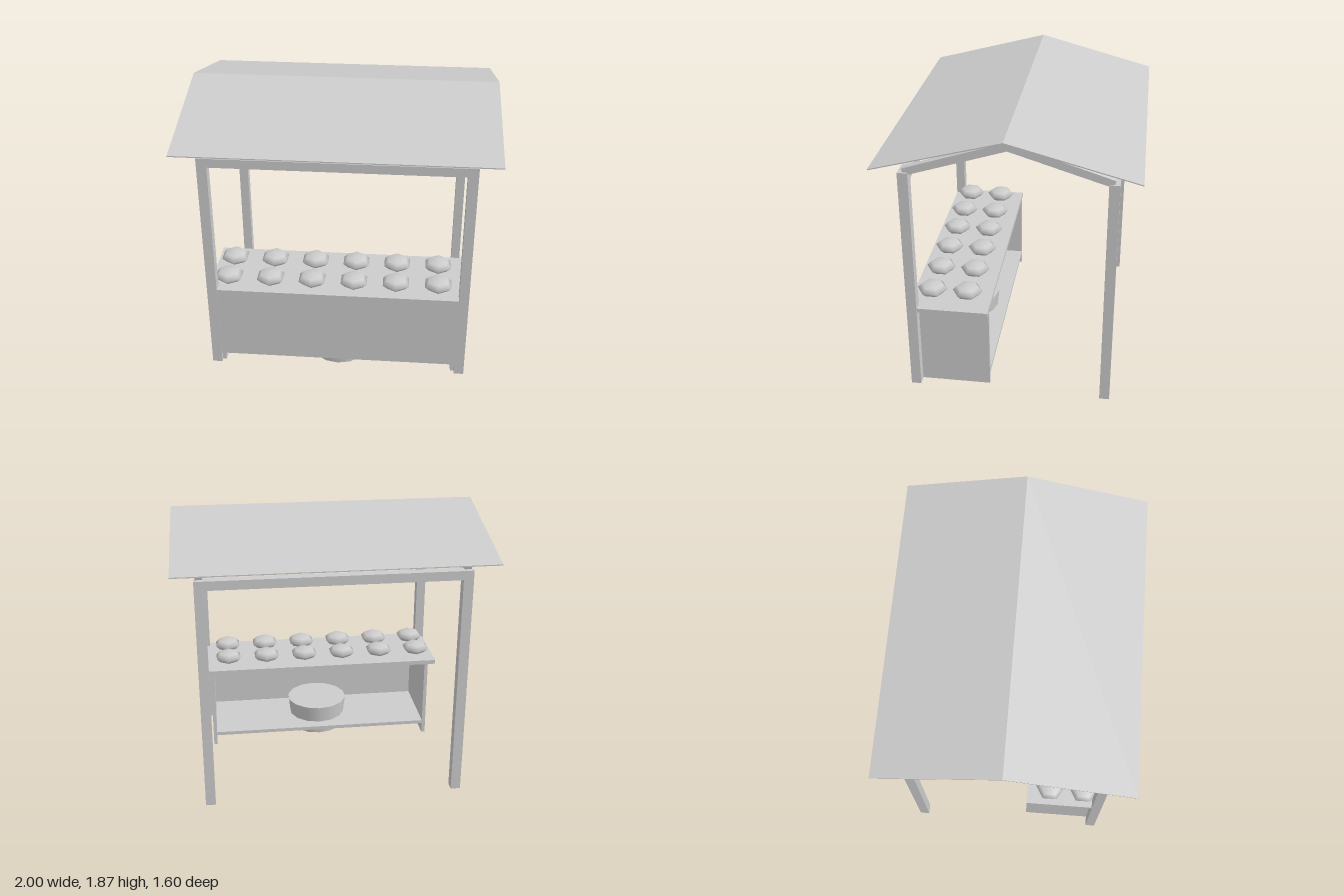
import * as THREE from 'three';

export function createModel() {
  const model = new THREE.Group();
  model.name = 'marketStall';
  const grey = new THREE.MeshStandardMaterial({ color: 0xcccccc });
  grey.name = 'plain grey';

  const add = (name, geometry, x = 0, y = 0, z = 0) => {
    const mesh = new THREE.Mesh(geometry, grey);
    mesh.name = name;
    mesh.position.set(x, y, z);
    model.add(mesh);
    return mesh;
  };

  // Box given by its limits on each axis
  const box = (name, [x0, x1], [y0, y1], [z0, z1]) =>
    add(name, new THREE.BoxGeometry(x1 - x0, y1 - y0, z1 - z0),
      (x0 + x1) / 2, (y0 + y1) / 2, (z0 + z1) / 2);

  // Side profile of [z, y] points, extruded along x and centred on x
  const profile = (name, points, width, x) => {
    const shape = new THREE.Shape(points.map(([z, y]) => new THREE.Vector2(-z, y)));
    const geometry = new THREE.ExtrudeGeometry(shape, { depth: width, bevelEnabled: false });
    geometry.translate(0, 0, -width / 2);
    geometry.rotateY(Math.PI / 2);
    return add(name, geometry, x);
  };

  // Posts, rafters and the counter's side panels
  for (const s of [-1, 1]) {
    const span = (a, b) => (s > 0 ? [a, b] : [-b, -a]);
    for (const [name, z] of [['frontPost', [0.6, 0.665]], ['backPost', [-0.665, -0.6]]]) {
      box(name, span(0.8, 0.865), [0, 1.575], z);
    }
    profile('rafterPair', [
      [0.64, 1.6], [0.628, 1.553], [0, 1.75], [-0.628, 1.553],
      [-0.64, 1.6], [-0.025, 1.798], [0.025, 1.798],
    ], 0.045, s * 0.833);
    box('counterSide', span(0.775, 0.8), [0, 0.57], [0.14, 0.637]);
  }

  // Beams joining the two ends
  box('frontBeam', [-0.8, 0.8], [1.515, 1.575], [0.6, 0.665]);
  box('backBeam', [-0.8, 0.8], [1.515, 1.575], [-0.665, -0.6]);
  box('ridgeBeam', [-0.812, 0.812], [1.75, 1.798], [-0.025, 0.025]);

  // Thin pitched roof
  profile('roof', [
    [0.8, 1.655], [0.8, 1.648], [0, 1.86], [-0.8, 1.648], [-0.8, 1.655], [0, 1.868],
  ], 2, 0);

  // Counter
  box('counterFront', [-0.8, 0.8], [0.075, 0.6], [0.637, 0.663]);
  box('counterTop', [-0.855, 0.855], [0.57, 0.6], [0.14, 0.64]);
  box('counterShelf', [-0.775, 0.775], [0.075, 0.1], [0.14, 0.637]);

  // Tub standing through the shelf
  add('tub', new THREE.CylinderGeometry(0.22, 0.195, 0.22, 14), 0, 0.11, 0.42);

  // Two rows of flattened produce
  const produce = new THREE.SphereGeometry(0.1, 6, 4);
  produce.rotateY(Math.PI / 2);
  produce.scale(1, 0.43, 1);
  for (const z of [0.535, 0.3]) {
    for (let i = 0; i < 6; i++) add('produce', produce, -0.735 + i * 0.28, 0.643, z);
  }
  return model;
}
